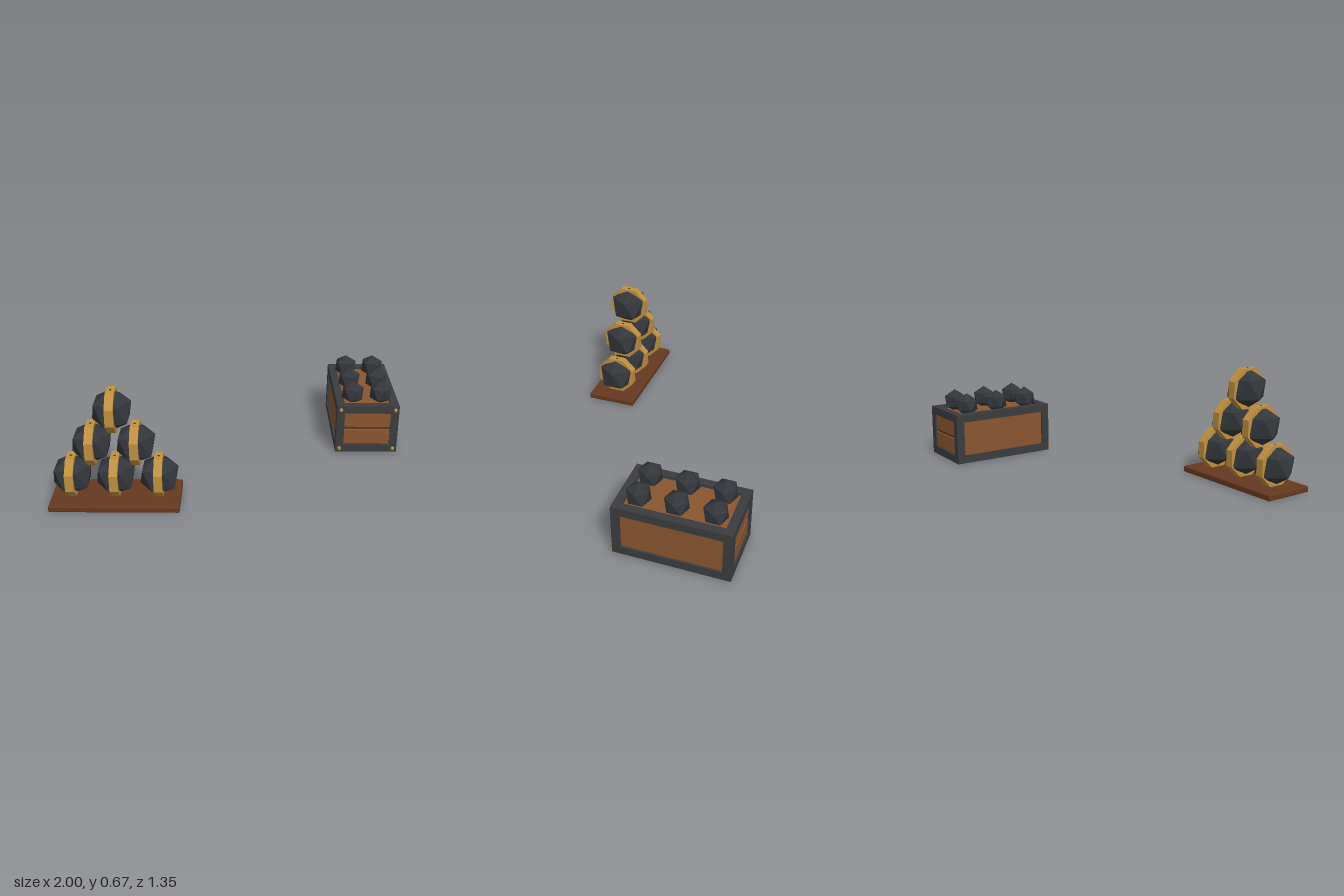
import * as THREE from 'three';
import { RoundedBoxGeometry } from 'three/addons/geometries/RoundedBoxGeometry.js';

const mat = (color) => new THREE.MeshStandardMaterial({ color, flatShading: true });
const iron = mat(0x33363b), frameIron = mat(0x3b3c3f), brass = mat(0xc09040);
const plankWood = mat(0x67391f), crateWood = mat(0x8a5530), darkWood = mat(0x5c3820);

function add(parent, name, geometry, material, x, y, z) {
  const mesh = new THREE.Mesh(geometry, material);
  mesh.name = name;
  mesh.position.set(x, y, z);
  parent.add(mesh);
  return mesh;
}

const box = (parent, name, material, w, h, d, x, y, z) =>
  add(parent, name, new THREE.BoxGeometry(w, h, d), material, x, y, z);

// Icosahedron standing on one corner, an upper ring corner towards +x
const ballGeometry = (r) =>
  new THREE.IcosahedronGeometry(r, 0).rotateZ(-Math.atan(2 / (1 + Math.sqrt(5))));

// Pyramid of banded balls on a plank
function createPyramid() {
  const group = new THREE.Group();
  group.name = 'ballPyramid';
  group.position.set(-0.643, 0, 0.525);
  add(group, 'plank', new RoundedBoxGeometry(0.714, 0.035, 0.304, 1, 0.006), plankWood, 0, 0.0175, 0);

  const ball = ballGeometry(0.12);
  const band = new THREE.CylinderGeometry(0.1245, 0.1245, 0.047, 8)
    .rotateY(Math.PI / 8).rotateZ(Math.PI / 2);
  for (let row = 0; row < 3; row++) {
    const count = 3 - row;
    for (let i = 0; i < count; i++) {
      const x = (i - (count - 1) / 2) * 0.24, y = 0.155 + row * 0.197;
      add(group, 'largeBall', ball, iron, x, y, -0.002);
      add(group, 'band', band, brass, x, y, -0.002);
    }
  }
  return group;
}

// Iron-framed crate filled with small balls
function createCrate() {
  const group = new THREE.Group();
  group.name = 'crate';
  group.position.set(0.81, 0, -0.349);
  const W = 0.374, H = 0.308, D = 0.65, t = 0.048;

  // Wooden core, showing as side panels, floor and fill
  box(group, 'sidePanels', crateWood, W - 0.024, H - 0.032, D - 0.06, 0, H / 2, 0);
  box(group, 'endCore', darkWood, W - 0.06, H - 0.04, D - 0.036, 0, H / 2, 0);

  // Two planks at each end
  for (const sz of [-1, 1]) {
    for (const y of [0.1, 0.213]) {
      box(group, 'endPlank', crateWood, W - 2 * t, 0.092, 0.02, 0, y, sz * (D / 2 - 0.018));
    }
  }

  // Frame beams along the three directions
  for (const a of [-1, 1]) {
    for (const b of [-1, 1]) {
      const x = a * (W - t) / 2, z = b * (D - t) / 2;
      box(group, 'cornerPost', frameIron, t, H - 2 * t, t, x, H / 2, z);
      box(group, 'longBeam', frameIron, t, t, D, x, H / 2 + b * (H - t) / 2, 0);
      box(group, 'endBeam', frameIron, W - 2 * t, t, t, 0, H / 2 + a * (H - t) / 2, z);
    }
  }

  // Brass studs on the front corners
  const stud = new THREE.CylinderGeometry(0.007, 0.012, 0.016, 8).rotateX(Math.PI / 2);
  for (const x of [-0.163, 0.163]) {
    for (const y of [0.025, 0.284]) add(group, 'stud', stud, brass, x, y, D / 2 + 0.007);
  }

  // Small balls
  const ball = ballGeometry(0.073);
  for (const x of [-0.085, 0.085]) {
    for (const z of [-0.206, 0, 0.206]) add(group, 'smallBall', ball, iron, x, 0.347, z);
  }
  return group;
}

export function createModel() {
  const model = new THREE.Group();
  model.name = 'ballStacks';
  model.add(createPyramid(), createCrate());
  return model;
}
